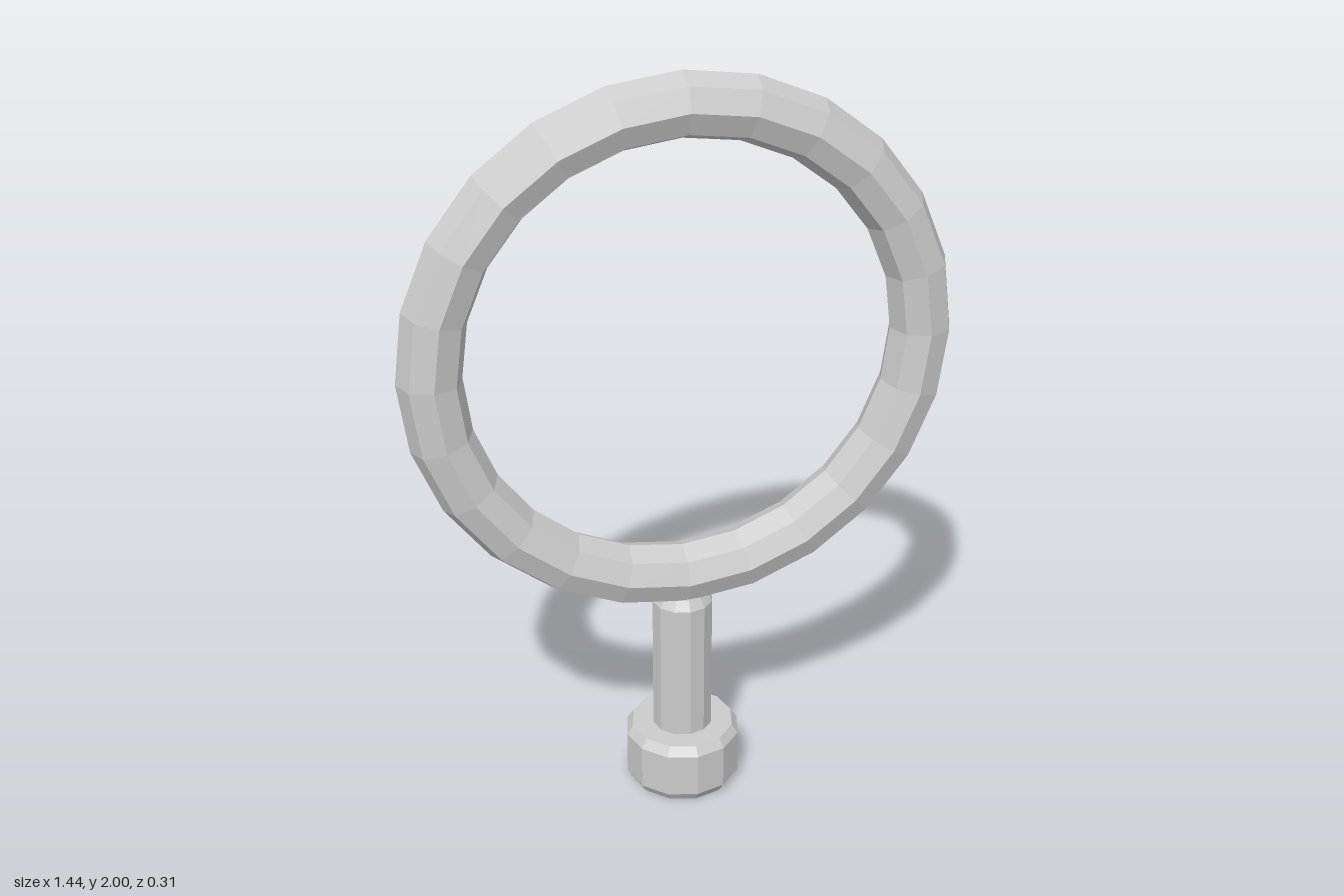
import * as THREE from 'three';

export function createModel() {
  const group = new THREE.Group();
  const material = new THREE.MeshStandardMaterial({ color: 0xcccccc, flatShading: true });

  const add = (name, geometry, y = 0) => {
    const mesh = new THREE.Mesh(geometry, material);
    mesh.name = name;
    mesh.position.y = y;
    group.add(mesh);
  };

  // Twelve-sided turned part from [radius, height] points, bottom to top
  const turned = (points) =>
    new THREE.LatheGeometry(points.map(([r, y]) => new THREE.Vector2(r, y)), 12);

  // Upright ring with an eight-sided tube
  add('ring', new THREE.TorusGeometry(0.636, 0.082, 8, 24), 1.282);

  // Stem, bevelled where it meets the ring
  add('stem', turned([[0, 0.1], [0.082, 0.1], [0.082, 0.565], [0.066, 0.592], [0, 0.592]]));

  // Foot knob, bevelled at both rims
  add('footKnob', turned([
    [0, 0], [0.14, 0], [0.157, 0.027], [0.157, 0.15], [0.14, 0.175], [0, 0.175],
  ]));

  return group;
}
